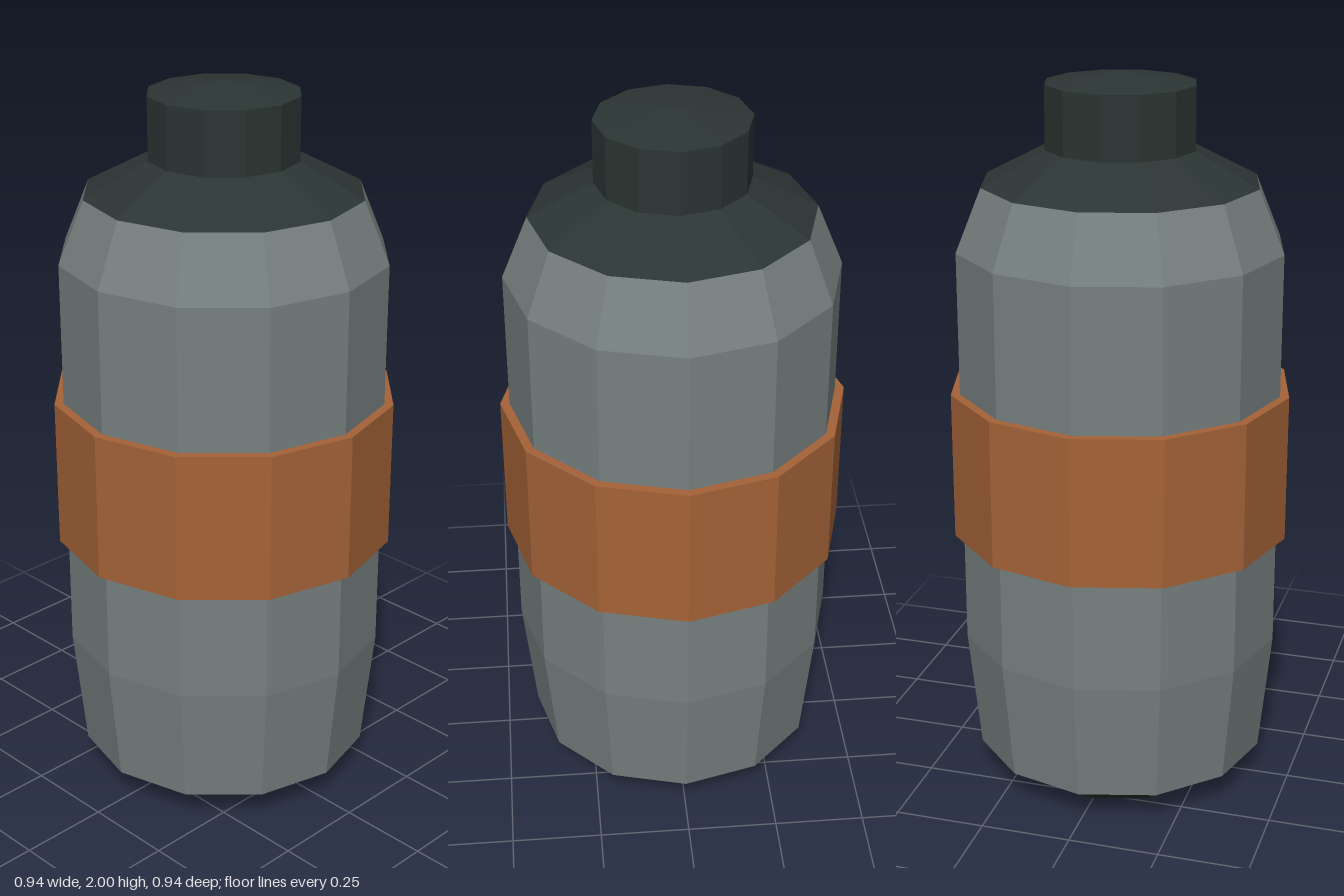
import * as THREE from 'three';

const SIDES = 12;

// Faceted turned part from [radius, height] pairs listed bottom to top
function turned(name, profile, material) {
  const points = profile.map(([r, y]) => new THREE.Vector2(r, y));
  const geometry = new THREE.LatheGeometry(points, SIDES).toNonIndexed();
  geometry.computeVertexNormals();
  const mesh = new THREE.Mesh(geometry, material);
  mesh.name = name;
  return mesh;
}

export function createModel() {
  const steel = new THREE.MeshStandardMaterial({ color: 0x778080 });
  steel.name = 'grey steel';
  const rubber = new THREE.MeshStandardMaterial({ color: 0x2b3533 });
  rubber.name = 'dark rubber';
  const leather = new THREE.MeshStandardMaterial({ color: 0xa56338 });
  leather.name = 'brown leather';

  const bottle = new THREE.Group();
  bottle.name = 'bottle';
  bottle.add(
    // Chamfered foot with a flat underside
    turned('base', [[0, 0], [0.275, 0], [0.41, 0.09]], rubber),
    // Main flask, tapered at both ends
    turned('body', [[0.41, 0.09], [0.445, 0.43], [0.445, 1.54], [0.375, 1.71]], steel),
    // Sloping shoulder below the cap
    turned('shoulder', [[0.375, 1.71], [0.203, 1.8]], rubber),
    // Cap with a shallow conical top
    turned('cap', [[0.203, 1.8], [0.203, 1.97], [0, 2]], rubber),
    // Raised grip band around the middle
    turned('gripBand', [[0.443, 0.74], [0.47, 0.74], [0.47, 1.15], [0.443, 1.15]], leather),
  );
  return bottle;
}
